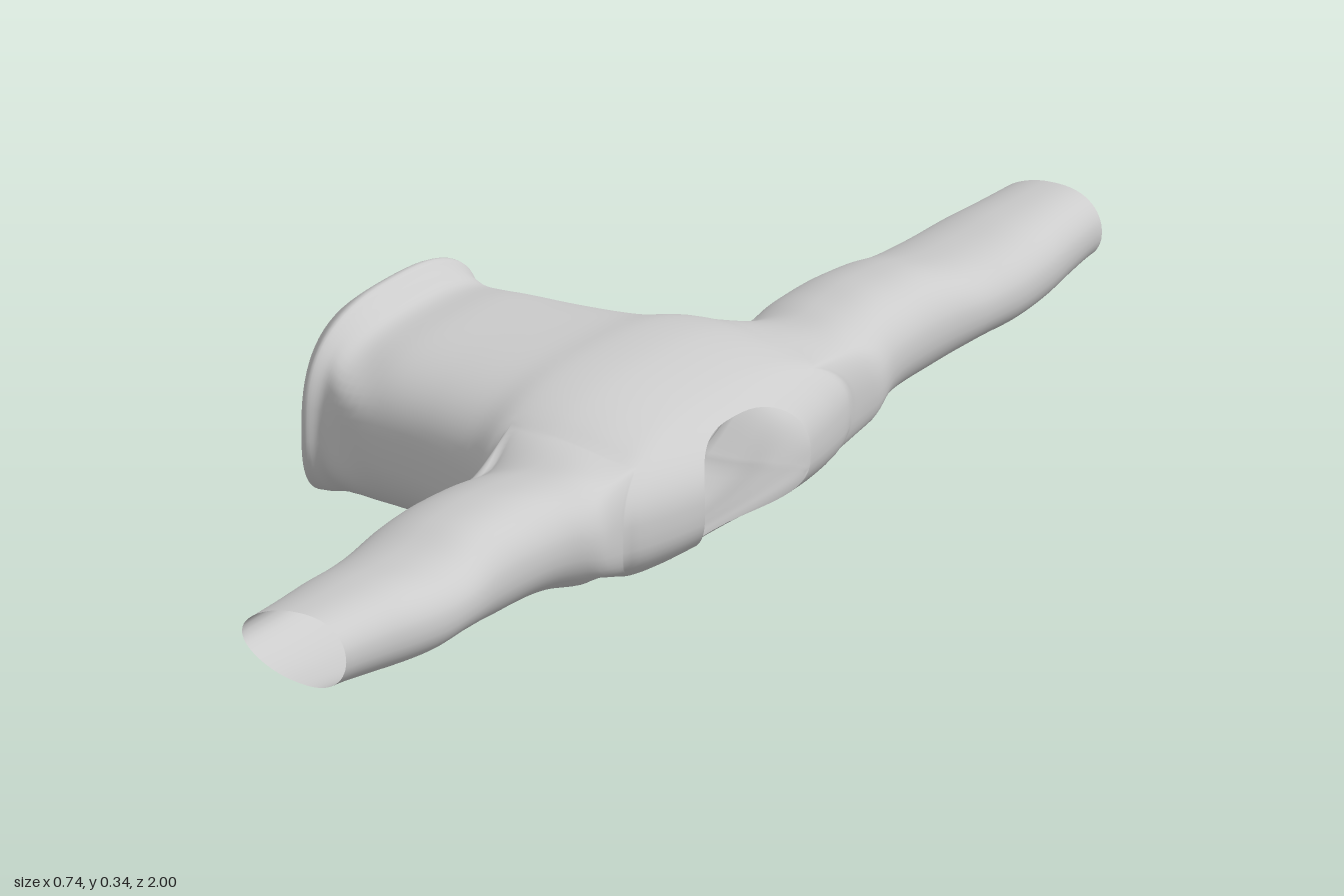
import * as THREE from 'three';

const AROUND = 64, SUB = 5, SLEEVE_STEPS = 48;

// Torso rings from hem to neck: x at top, side and bottom, half width, lowest y, highest y
const RINGS = [
  [-0.37, -0.347, -0.372, 0.225, 0, 0.315],
  [-0.337, -0.335, -0.345, 0.232, 0.004, 0.339],
  [-0.315, -0.315, -0.315, 0.221, 0.009, 0.325],
  [-0.28, -0.28, -0.28, 0.231, 0.015, 0.303],
  [-0.2, -0.2, -0.2, 0.236, 0.018, 0.311],
  [-0.1, -0.1, -0.1, 0.247, 0.018, 0.316],
  [0, 0, 0, 0.272, 0.01, 0.322],
  [0.07, 0.07, 0.07, 0.312, 0.003, 0.331],
  [0.14, 0.14, 0.14, 0.325, 0.009, 0.331],
  [0.2, 0.21, 0.19, 0.325, 0.028, 0.322],
  [0.25, 0.275, 0.225, 0.32, 0.043, 0.309],
  [0.28, 0.328, 0.25, 0.3, 0.052, 0.298],
  [0.305, 0.352, 0.27, 0.225, 0.061, 0.285],
  [0.32, 0.368, 0.28, 0.14, 0.07, 0.275],
];
const HOLE_START = 7 * SUB, HOLE_END = 11 * SUB, HOLE_HALF = 8;

// Sleeve sections: distance from centre, lowest x, highest x, lowest y, highest y
const SLEEVE = [
  [0.36, 0.062, 0.343, 0.105, 0.284],
  [0.44, 0.052, 0.318, 0.118, 0.285],
  [0.52, 0.05, 0.309, 0.12, 0.285],
  [0.6, 0.055, 0.31, 0.124, 0.281],
  [0.68, 0.066, 0.321, 0.136, 0.269],
  [0.76, 0.08, 0.33, 0.14, 0.274],
  [0.84, 0.09, 0.328, 0.147, 0.281],
  [0.92, 0.098, 0.314, 0.154, 0.28],
  [1.0, 0.102, 0.303, 0.16, 0.278],
];

// Smooth interpolation through the rows of a table
function sample(table, t) {
  const last = table.length - 1;
  t = THREE.MathUtils.clamp(t, 0, last);
  const i = Math.min(Math.floor(t), last - 1), f = t - i;
  const row = (k) => table[THREE.MathUtils.clamp(k, 0, last)];
  return table[0].map((_, c) => {
    const a = row(i - 1)[c], b = row(i)[c], d = row(i + 1)[c], e = row(i + 2)[c];
    return b + 0.5 * f * (d - a + f * (2 * a - 5 * b + 4 * d - e + f * (3 * (b - d) + e - a)));
  });
}

const power = (v, p) => Math.sign(v) * Math.abs(v) ** p;

function torsoPoint(t, angle) {
  const [top, side, bottom, halfWidth, low, high] = sample(RINGS, t);
  const s = Math.sin(angle), c = Math.cos(angle);
  const x = side + ((s > 0 ? top : bottom) - side) * s * s;
  // soft folds above the hem
  const fold = 0.005 * Math.exp(-(((x + 0.27) / 0.04) ** 2)) * Math.sin(angle * 7 + x * 30);
  return [
    x,
    (low + high) / 2 + ((high - low) / 2) * power(s, 0.76),
    (halfWidth + fold) * power(c, 0.76),
  ];
}

function sleevePoint(z, t) {
  const [, x0, x1, y0, y1] = sample(SLEEVE, (z - 0.36) / 0.08);
  const c = Math.cos(t), s = Math.sin(t);
  // light creases, fading towards the cuff
  const crease = 1 + 0.015 * Math.sin(z * 55 + c * 3) * (1 - z);
  return [
    (x0 + x1) / 2 + ((x1 - x0) / 2) * power(c, 0.9),
    (y0 + y1) / 2 + ((y1 - y0) / 2) * s * (1 + 0.22 * c) * crease,
  ];
}

export function createModel() {
  const positions = [];
  const faces = { torso: [], leftSleeve: [], rightSleeve: [] };
  const add = (p) => positions.push(...p) / 3 - 1;
  const quad = (list, a, b, c, d) => list.push(a, b, c, a, c, d);

  // Torso tube, open at the hem, the neck and both armholes
  const rows = (RINGS.length - 1) * SUB;
  const grid = [];
  for (let i = 0; i <= rows; i++) {
    grid.push([]);
    for (let j = 0; j < AROUND; j++) {
      grid[i].push(add(torsoPoint(i / SUB, (j / AROUND) * Math.PI * 2)));
    }
  }
  const at = (i, j) => grid[i][(j + AROUND) % AROUND];
  const half = AROUND / 2;
  for (let i = 0; i < rows; i++) {
    for (let j = 0; j < AROUND; j++) {
      const nearSide = (j + HOLE_HALF) % half < 2 * HOLE_HALF;
      if (nearSide && i >= HOLE_START && i < HOLE_END) continue;
      quad(faces.torso, at(i, j), at(i + 1, j), at(i + 1, j + 1), at(i, j + 1));
    }
  }

  // Sleeves grow from the edge of each armhole
  for (const [name, middle, sign] of [['leftSleeve', 0, 1], ['rightSleeve', half, -1]]) {
    const j0 = middle - HOLE_HALF, j1 = middle + HOLE_HALF;
    const loop = [];
    for (let i = HOLE_START; i < HOLE_END; i++) loop.push(at(i, j0));
    for (let j = j0; j < j1; j++) loop.push(at(HOLE_END, j));
    for (let i = HOLE_END; i > HOLE_START; i--) loop.push(at(i, j1));
    for (let j = j1; j > j0; j--) loop.push(at(HOLE_START, j));

    const roots = loop.map((k) => positions.slice(k * 3, k * 3 + 3));
    let previous = loop;
    for (let step = 1; step <= SLEEVE_STEPS; step++) {
      const k = (step / SLEEVE_STEPS) ** 1.25;
      const ring = roots.map(([x, y, zRoot]) => {
        const t = Math.atan2((y - 0.175) / 0.12, (x - 0.2) / 0.128);
        const z0 = Math.abs(zRoot);
        const z = z0 + (1 - z0) * k;
        const w = THREE.MathUtils.smoothstep(z, z0 - 0.02, z0 + 0.11);
        const [sx, sy] = sleevePoint(z, t);
        return add([x + (sx - x) * w, y + (sy - y) * w, sign * z]);
      });
      ring.forEach((_, n) => {
        const m = (n + 1) % ring.length;
        quad(faces[name], previous[n], previous[m], ring[m], ring[n]);
      });
      previous = ring;
    }
  }

  // Normals are computed over the whole garment so the seams stay smooth
  const whole = new THREE.BufferGeometry();
  whole.setAttribute('position', new THREE.Float32BufferAttribute(positions, 3));
  whole.setIndex(Object.values(faces).flat());
  whole.computeVertexNormals();

  const cloth = new THREE.MeshStandardMaterial({ color: 0xcccccc, side: THREE.DoubleSide });
  const shirt = new THREE.Group();
  shirt.name = 'shirt';
  for (const [name, index] of Object.entries(faces)) {
    const geometry = new THREE.BufferGeometry();
    geometry.setAttribute('position', whole.getAttribute('position'));
    geometry.setAttribute('normal', whole.getAttribute('normal'));
    geometry.setIndex(index);
    const mesh = new THREE.Mesh(geometry, cloth);
    mesh.name = name;
    shirt.add(mesh);
  }
  return shirt;
}
